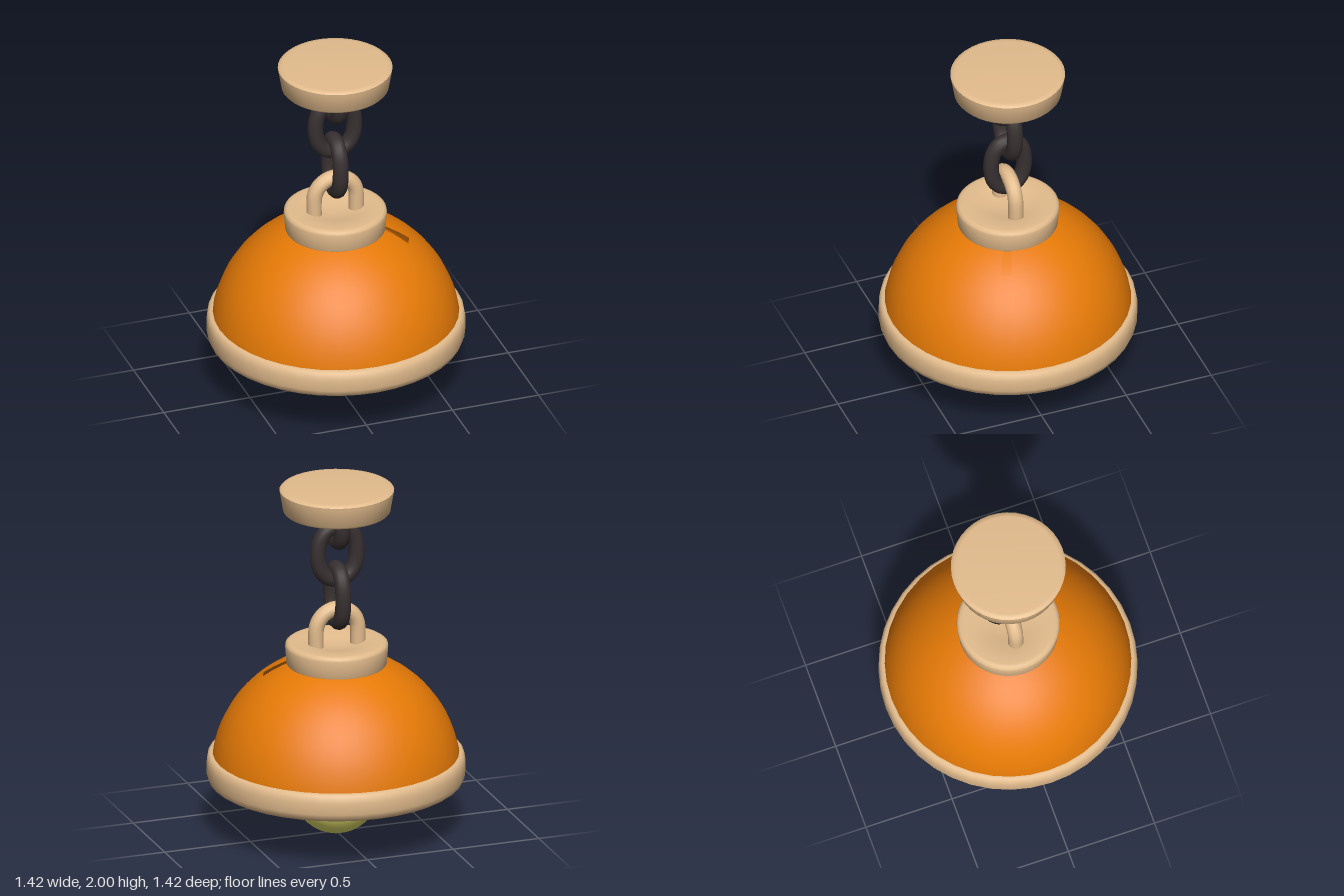
import * as THREE from 'three';
import { toCreasedNormals } from 'three/addons/utils/BufferGeometryUtils.js';

const mat = (name, color, side = THREE.FrontSide) => {
  const m = new THREE.MeshStandardMaterial({ color, side });
  m.name = name;
  return m;
};

export function createModel() {
  const tan = mat('tan trim', 0xe3bc8d);
  const orange = mat('orange enamel', 0xe67a06, THREE.DoubleSide);
  const iron = mat('dark iron', 0x383031);
  const brown = mat('brown socket', 0x7d5f4d);
  const glow = mat('yellow glass', 0xe6e26c);

  const model = new THREE.Group();
  model.name = 'pendantLamp';
  const add = (name, geometry, material, parent = model) => {
    const mesh = new THREE.Mesh(geometry, material);
    mesh.name = name;
    parent.add(mesh);
    return mesh;
  };

  // Turned part from a bottom-to-top profile of [radius, height]
  const turned = (profile, segments = 40) => toCreasedNormals(
    new THREE.LatheGeometry(profile.map(([r, y]) => new THREE.Vector2(r, y)), segments), 0.9);

  // Ceiling plate with a small recess for the chain
  const plate = add('ceilingPlate', turned([
    [0, 1.9], [0.1, 1.9], [0.11, 1.856], [0.265, 1.856], [0.284, 1.858], [0.295, 1.87],
    [0.313, 1.975], [0.315, 1.988], [0.305, 1.998], [0.285, 2], [0, 2],
  ]), tan);
  plate.position.x = -0.005;

  // Chain: closed oval links, turned a quarter from each other
  const chain = new THREE.Group();
  chain.name = 'chain';
  chain.position.x = -0.007;
  model.add(chain);
  const soften = (v) => Math.sign(v) * Math.abs(v) ** 0.9;
  const addLink = (name, y, rx, ry, turn) => {
    const points = [];
    for (let i = 0; i < 24; i++) {
      const a = ((i + 0.5) / 24) * Math.PI * 2;
      points.push(new THREE.Vector3(soften(Math.cos(a)) * rx, soften(Math.sin(a)) * ry, 0));
    }
    const curve = new THREE.CatmullRomCurve3(points, true);
    const link = add(name, new THREE.TubeGeometry(curve, 48, 0.044, 12, true), iron, chain);
    link.position.y = y;
    link.rotation.y = turn;
  };
  addLink('upperLink', 1.815, 0.089, 0.13, Math.PI / 2);
  addLink('middleLink', 1.62, 0.113, 0.153, 0);
  addLink('lowerLink', 1.373, 0.097, 0.153, Math.PI / 2);

  // Hanging loop: an arch with straight legs
  const loopPoints = [new THREE.Vector3(0.122, -0.12, 0)];
  for (let i = 0; i <= 12; i++) {
    const a = (i / 12) * Math.PI;
    loopPoints.push(new THREE.Vector3(Math.cos(a) * 0.122, Math.sin(a) * 0.122, 0));
  }
  loopPoints.push(new THREE.Vector3(-0.122, -0.12, 0));
  const loop = add('hangingLoop', new THREE.TubeGeometry(
    new THREE.CatmullRomCurve3(loopPoints), 40, 0.043, 12), tan);
  loop.position.set(-0.005, 1.173, 0);

  // Cap with a shallow dish under the loop
  const cap = add('cap', turned([
    [0, 0.967], [0.25, 0.967], [0.268, 0.97], [0.276, 0.985],
    [0.283, 1.08], [0.28, 1.095], [0.267, 1.104], [0.25, 1.105],
    [0.17, 1.103], [0.11, 1.085], [0, 1.075],
  ]), tan);
  cap.position.x = -0.004;

  // Dome: outer shell with a small slot below the cap
  const dome = new THREE.Group();
  dome.name = 'dome';
  dome.position.y = 0.35;
  model.add(dome);
  const step = Math.PI / 20, slotEnd = 0.624;
  add('domeOuterLower', new THREE.SphereGeometry(
    0.685, 40, 12, 0, Math.PI * 2, slotEnd, 1.454 - slotEnd), orange, dome);
  add('domeOuterUpper', new THREE.SphereGeometry(
    0.685, 39, 4, step * 18, step * 39, 0.25, slotEnd - 0.25), orange, dome);

  // Inner lining, profile run from top to bottom so that it faces inwards
  const lining = [];
  for (let i = 0; i <= 14; i++) {
    const a = (i / 14) * 1.638;
    lining.push([Math.sin(a) * 0.603, Math.cos(a) * 0.603]);
  }
  add('domeLining', turned(lining), orange, dome);

  // Rounded rim, closed profile
  add('rim', turned([
    [0.606, 0.43], [0.604, 0.315], [0.615, 0.303], [0.64, 0.299], [0.68, 0.3],
    [0.698, 0.312], [0.71, 0.345], [0.71, 0.41], [0.703, 0.45], [0.69, 0.46],
    [0.65, 0.46], [0.606, 0.43],
  ]), tan);

  // Socket and bulb
  add('socket', turned([
    [0, 0.445], [0.178, 0.445], [0.19, 0.465], [0.19, 0.92], [0, 0.92],
  ], 32), brown);
  const bulb = add('bulb', new THREE.SphereGeometry(0.24, 32, 20), glow);
  bulb.position.y = 0.243;
  bulb.scale.y = 0.243 / 0.24;

  return model;
}
